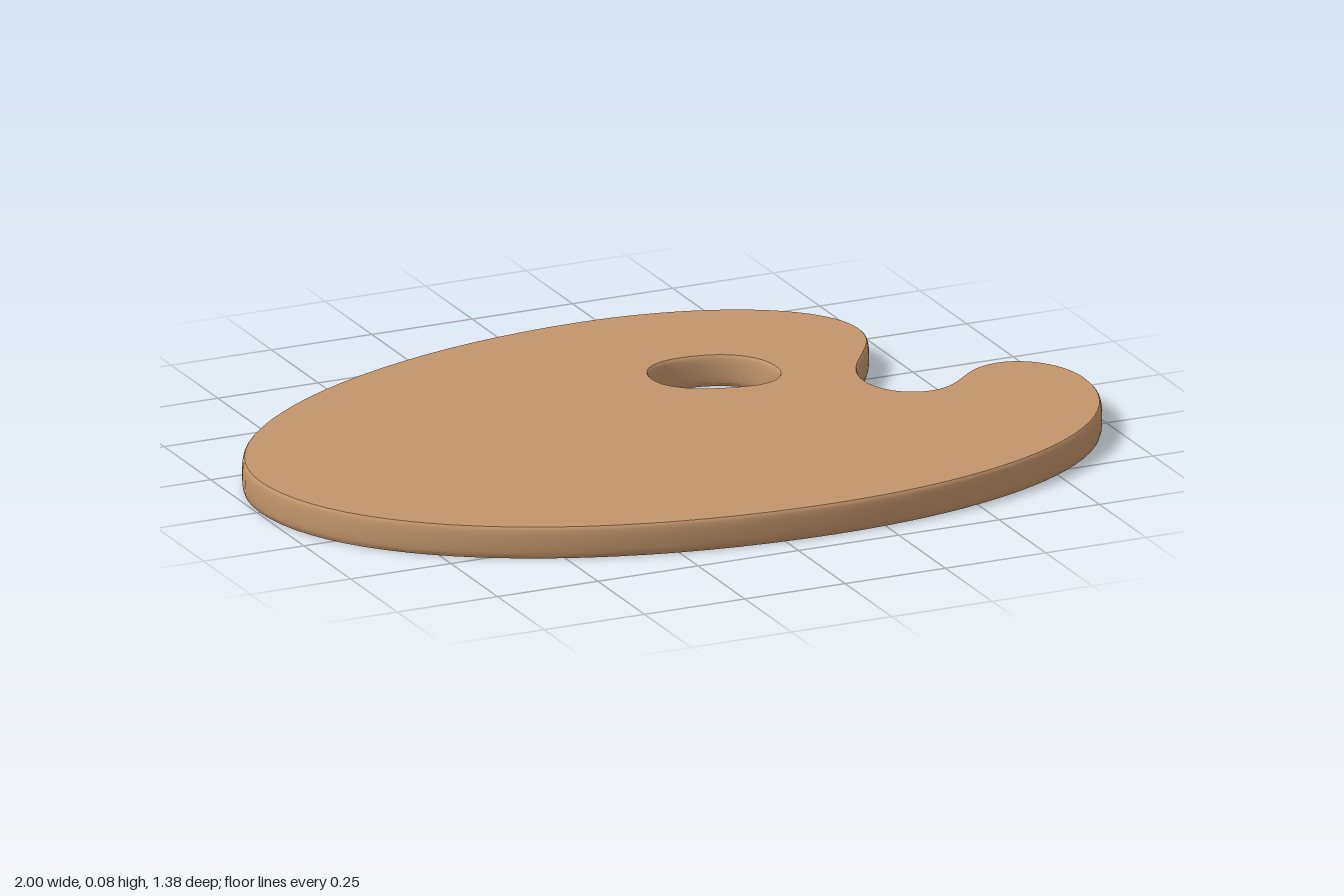
import * as THREE from 'three';
import { toCreasedNormals } from 'three/addons/utils/BufferGeometryUtils.js';

const HEIGHT = 0.075;
const BULGE = 0.006;

// Traces a closed outline of Bezier segments through a start point
function trace(path, start, segments) {
  path.moveTo(...start);
  for (const s of segments) path.bezierCurveTo(...s);
  return path;
}

export function createModel() {
  const group = new THREE.Group();
  group.name = 'paintPalette';

  // Board outline in x, z, with the finger notch on the right
  const outline = trace(new THREE.Shape(), [-1, 0], [
    [-1, -0.36, -0.45, -0.69, 0.12, -0.69],
    [0.42, -0.69, 0.68, -0.56, 0.68, -0.38],
    [0.68, -0.24, 0.54, -0.18, 0.54, -0.05],
    [0.54, 0.02, 0.59, 0.07, 0.645, 0.07],
    [0.73, 0.07, 0.76, -0.04, 0.86, -0.04],
    [0.94, -0.04, 1, 0.04, 1, 0.14],
    [1, 0.46, 0.62, 0.69, 0.12, 0.69],
    [-0.51, 0.69, -1, 0.40, -1, 0],
  ]);

  // Thumb hole
  outline.holes.push(trace(new THREE.Path(), [0.11, -0.26], [
    [0.11, -0.32, 0.15, -0.36, 0.22, -0.36],
    [0.32, -0.36, 0.39, -0.31, 0.39, -0.22],
    [0.39, -0.17, 0.36, -0.13, 0.30, -0.13],
    [0.20, -0.14, 0.11, -0.18, 0.11, -0.26],
  ]));

  // Flat faces with gently bulging edges
  const depth = 0.015;
  const bevel = (HEIGHT - depth) / 2;
  const geometry = new THREE.ExtrudeGeometry(outline, {
    depth,
    curveSegments: 24,
    bevelThickness: bevel,
    bevelSize: BULGE,
    bevelOffset: -BULGE,
    bevelSegments: 4,
  });
  geometry.rotateX(Math.PI / 2);
  geometry.translate(0, depth + bevel, 0);

  const board = new THREE.Mesh(
    toCreasedNormals(geometry, 0.6),
    new THREE.MeshStandardMaterial({ color: 0xc4956a }),
  );
  board.name = 'board';
  group.add(board);
  return group;
}
